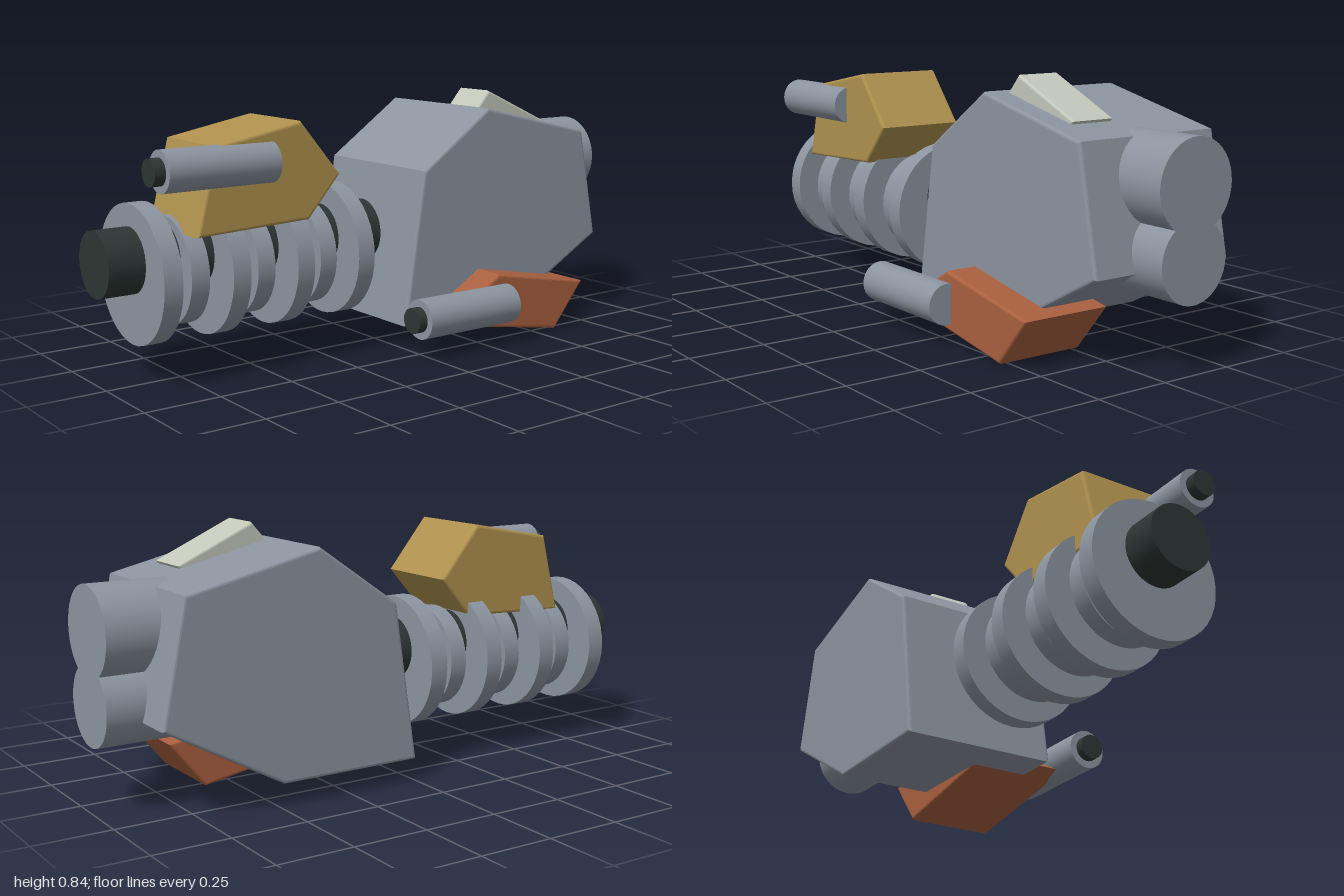
import * as THREE from 'three';

const material = (name, color) => {
  const m = new THREE.MeshStandardMaterial({ color });
  m.name = name;
  return m;
};

export function createModel() {
  const steel = material('steel grey', 0x8b949f);
  const dark = material('dark green grey', 0x2c3634);
  const gold = material('dull gold', 0xb0924f);
  const rust = material('rust orange', 0xa9603f);
  const pale = material('pale grey green', 0xc3c8bb);

  const model = new THREE.Group();
  model.name = 'model';

  const add = (name, geometry, mat) => {
    const mesh = new THREE.Mesh(geometry, mat);
    mesh.name = name;
    model.add(mesh);
    return mesh;
  };

  // Polygon in the xy plane, extruded from z0 to z1 with softened edges
  const block = (name, points, z0, z1, mat, bevel = 0.01) => {
    const shape = new THREE.Shape(points.map(([x, y]) => new THREE.Vector2(x, y)));
    const geometry = new THREE.ExtrudeGeometry(shape, {
      depth: z1 - z0 - 2 * bevel,
      bevelEnabled: true,
      bevelSize: bevel,
      bevelThickness: bevel,
      bevelOffset: -bevel,
      bevelSegments: 3,
    });
    geometry.translate(0, 0, z0 + bevel);
    return add(name, geometry, mat);
  };

  // Cylinder lying along x
  const rod = (name, x0, x1, y, z, radius, mat) => {
    const geometry = new THREE.CylinderGeometry(radius, radius, x1 - x0, 40);
    geometry.rotateZ(Math.PI / 2);
    geometry.translate((x0 + x1) / 2, y, z);
    return add(name, geometry, mat);
  };

  // Main body with its raised plate
  block('body', [[0.003, 0.078], [0.49, 0.078], [0.888, 0.298], [0.81, 0.683], [0.36, 0.788], [0.083, 0.595]],
    -0.36, 0.17, steel);
  block('topPlate', [[0.365, 0.765], [0.44, 0.69], [0.66, 0.69], [0.69, 0.722], [0.43, 0.84]],
    -0.067, 0.089, pale, 0.008);

  // Twin cylinders at the end of the body
  rod('upperCylinder', 0.6, 1, 0.557, -0.102, 0.142, steel);
  rod('lowerCylinder', 0.6, 1, 0.338, -0.102, 0.127, steel);

  // Shaft carrying alternating large and small discs
  rod('shaft', -1, -0.01, 0.38, -0.055, 0.104, dark);
  for (let i = 0; i < 7; i++) {
    const x = -0.85 + i * 0.1165;
    rod('disc', x - 0.031, x + 0.031, 0.335, -0.055, i % 2 ? 0.172 : 0.22, steel);
  }

  // Pods, each with a barrel and a dark muzzle
  block('upperPod', [[-0.758, 0.463], [-0.36, 0.478], [-0.242, 0.613], [-0.388, 0.79], [-0.69, 0.733]],
    -0.165, 0.147, gold);
  rod('upperBarrel', -0.87, -0.49, 0.671, 0.131, 0.065, steel);
  rod('upperMuzzle', -0.905, -0.86, 0.671, 0.131, 0.042, dark);

  block('lowerPod', [[0.078, 0.091], [0.59, 0.003], [0.718, 0.16], [0.322, 0.235]],
    -0.033, 0.28, rust);
  rod('lowerBarrel', -0.037, 0.347, 0.136, 0.296, 0.066, steel);
  rod('lowerMuzzle', -0.068, -0.03, 0.136, 0.296, 0.042, dark);

  return model;
}
